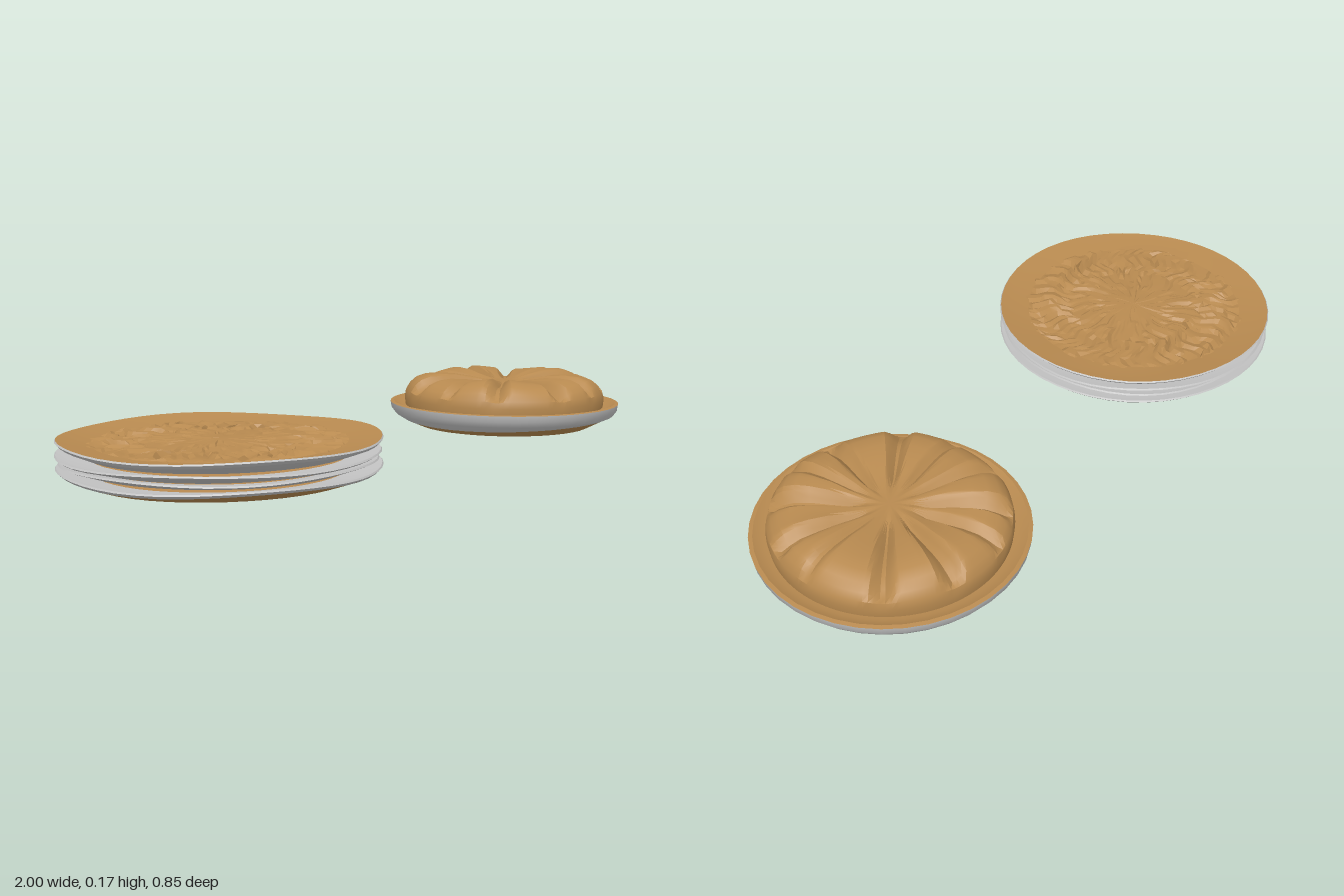
import * as THREE from 'three';
import { toCreasedNormals } from 'three/addons/utils/BufferGeometryUtils.js';

const tan = new THREE.MeshStandardMaterial({ color: 0xb88a50 });
tan.name = 'bakedTan';
const grey = new THREE.MeshStandardMaterial({ color: 0xc4c4c4 });
grey.name = 'paleGrey';

// Repeatable noise from two integers, 0..1
function noise(i, j) {
  const s = Math.sin(i * 127.1 + j * 311.7) * 43758.5453;
  return s - Math.floor(s);
}

// Round surface from a profile of [radius, height]; warp may bend each point.
// Profiles run from the bottom centre, outward, up and back to the top centre.
function round(name, material, profile, segs, crease = 0.5, warp = (r, y) => [r, y]) {
  const pos = [], index = [];
  profile.forEach(([r, y], j) => {
    for (let i = 0; i < segs; i++) {
      const a = (i / segs) * Math.PI * 2;
      const [wr, wy, twist = 0] = warp(r, y, a, i, j);
      pos.push(wr * Math.cos(a + twist), wy, wr * Math.sin(a + twist));
      if (j < profile.length - 1) {
        const n = (i + 1) % segs, p = j * segs, q = p + segs;
        index.push(p + i, q + i, p + n, q + i, q + n, p + n);
      }
    }
  });
  const g = new THREE.BufferGeometry();
  g.setAttribute('position', new THREE.Float32BufferAttribute(pos, 3));
  g.setIndex(index);
  const mesh = new THREE.Mesh(toCreasedNormals(g, crease), material);
  mesh.name = name;
  return mesh;
}

function createPie() {
  const pie = new THREE.Group();
  pie.name = 'pie';
  // The baked base meets the pale dish along an uneven line
  const uneven = (r, y, a) => (r === 0.325 ? [r, y + 0.005 * Math.sin(a * 2 - 1.2)] : [r, y]);
  pie.add(
    round('pieBase', tan, [[0, 0], [0.27, 0], [0.325, 0.024]], 40, 0.5, uneven),
    round('pieDish', grey, [[0.325, 0.024], [0.347, 0.038], [0.36, 0.056], [0.363, 0.075]], 40, 0.5, uneven),
    round('pieRim', tan, [[0.363, 0.075], [0.352, 0.077], [0.325, 0.064], [0.3, 0.064]], 40)
  );

  // Domed crust, cut by slashes of differing width that fan out from the centre
  const slashes = [[0.02, 0.5], [0.42, 1], [0.98, 1.1], [1.43, 0.7], [1.88, 1], [2.55, 1.1],
    [3.05, 0.6], [3.55, 1], [4.1, 1], [4.5, 0.7], [5.05, 1.1], [5.65, 1]];
  const crust = [[0.314, 0.064], [0.317, 0.09], [0.313, 0.112], [0.3, 0.132], [0.28, 0.149],
    [0.25, 0.16], [0.21, 0.163], [0.16, 0.16], [0.11, 0.153], [0.06, 0.147], [0.025, 0.145], [0, 0.145]];
  pie.add(round('pieCrust', tan, crust, 144, 0.5, (r, y, a) => {
    let cut = 0;
    slashes.forEach(([s, size]) => {
      const d = Math.abs(Math.atan2(Math.sin(a - s), Math.cos(a - s))) * r;
      cut = Math.max(cut, (1 - d / (0.01 + 0.085 * r * size)) * 0.032 * size);
    });
    const fade = THREE.MathUtils.smoothstep(r, 0.03, 0.14) * THREE.MathUtils.smoothstep(y, 0.1, 0.145);
    const swell = 0.006 * Math.sin(a * 5 + 1.2) * fade;
    return [r - cut * 0.25 * fade, y - cut * fade + swell];
  }));
  pie.position.set(0.638, 0, -0.025);
  pie.scale.z = 1.03;
  return pie;
}

function createStack() {
  const stack = new THREE.Group();
  stack.name = 'flatbreadStack';
  const wobble = (seed) => (r, y, a) => [
    r * (1 + 0.005 * Math.sin(a * 3 + seed) + 0.004 * Math.sin(a * 5 + seed * 2)),
    y + (r > 0.38 ? 0.003 * Math.sin(a * 4 + seed) : 0)
  ];

  // Each flatbread: bottom, rim height and radius; rims turn up and edges are pale
  const layers = [[0, 0.032, 0.425], [0.03, 0.051, 0.415], [0.045, 0.07, 0.421], [0.068, 0.103, 0.425]];
  layers.forEach(([y0, y1, r], k) => {
    const layer = new THREE.Group();
    layer.name = 'flatbread' + (k + 1);
    const top = k === layers.length - 1;
    const warp = wobble(k * 2.1);
    const mid = y0 + (y1 - y0) * 0.65;
    layer.add(
      round('underside', k === 0 ? tan : grey, [[0, y0], [0.36, y0], [r - 0.008, mid]], 48, 0.5, warp),
      round('edge', grey, [[r - 0.008, mid], [r, y1 - 0.004], [r - 0.003, y1]], 48, 0.5, warp),
      round('border', top ? tan : grey, [[r - 0.003, y1], [0.39, y1 - 0.006], [0.335, y1 - 0.013]], 48, 0.5, warp)
    );
    if (!top) layer.add(round('middle', tan, [[0.335, y1 - 0.013], [0, y1 - 0.013]], 48, 0.5, warp));
    stack.add(layer);
  });

  // Rough centre of the uppermost flatbread: short ridges in staggered bands
  const rings = [];
  for (let j = 0; j <= 20; j++) rings.push([0.354 * (1 - j / 20), 0.091]);
  stack.add(round('ridgedCentre', tan, rings, 120, 0.2, (r, y, a, i, j) => {
    if (j === 0) return [r, y - 0.003];
    const calm = Math.min(1, r / 0.2);
    const broad = Math.floor(i / (r < 0.1 ? 6 : r < 0.2 ? 2 : 1));
    const band = Math.floor((j + 4 * noise(broad, 7)) / 4);
    const ridge = noise(broad, band) * 0.014 * calm;
    const swirl = 0.35 * (1 - calm) + 0.05 * Math.sin(j * 0.9 + a * 3) * calm;
    return [r + (noise(i, j + 40) - 0.5) * 0.012 * calm, y + 0.005 - ridge, swirl];
  }));
  stack.position.x = -0.574;
  return stack;
}

export function createModel() {
  const model = new THREE.Group();
  model.name = 'pieAndFlatbreads';
  model.add(createPie(), createStack());
  return model;
}
